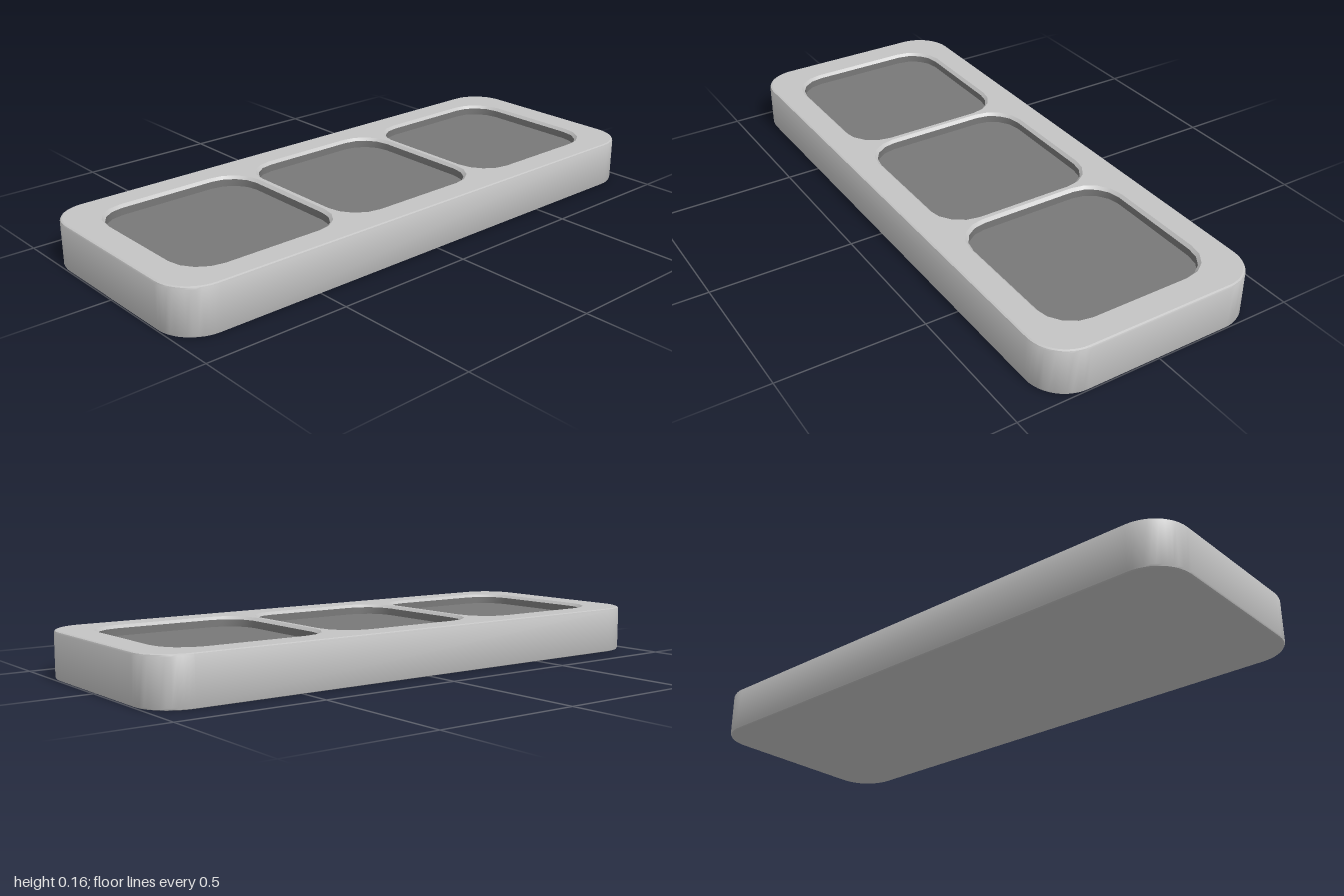
import * as THREE from 'three';
import { toCreasedNormals } from 'three/addons/utils/BufferGeometryUtils.js';

const HEIGHT = 0.16;

// Outline of a rounded rectangle, as [x, z] points
function outline(w, d, r, segs) {
  const pts = [];
  for (let q = 0; q < 4; q++) {
    const sx = q === 0 || q === 3 ? 1 : -1;
    const sz = q < 2 ? 1 : -1;
    for (let i = 0; i <= segs; i++) {
      const a = (q + i / segs) * Math.PI / 2;
      pts.push(new THREE.Vector2(sx * (w / 2 - r) + r * Math.cos(a), sz * (d / 2 - r) + r * Math.sin(a)));
    }
  }
  return pts;
}

// Wall swept around a rounded rectangle; profile rows are [inset, y]
function wall(w, d, r, segs, profile) {
  const pos = [], index = [];
  let n = 0;
  for (const [inset, y] of profile) {
    const ring = outline(w - 2 * inset, d - 2 * inset, r - inset, segs);
    n = ring.length;
    ring.forEach(p => pos.push(p.x, y, p.y));
  }
  for (let i = 0; i < profile.length - 1; i++) {
    for (let j = 0; j < n; j++) {
      const a = i * n + j, b = i * n + (j + 1) % n;
      index.push(a, a + n, b, b, a + n, b + n);
    }
  }
  const g = new THREE.BufferGeometry();
  g.setAttribute('position', new THREE.Float32BufferAttribute(pos, 3));
  g.setIndex(index);
  return toCreasedNormals(g, Math.PI / 5);
}

// Flat horizontal face at height y, facing up or down
function face(pts, y, up = true, holes = []) {
  const shape = new THREE.Shape(pts);
  shape.holes = holes.map(h => new THREE.Path(h));
  return new THREE.ShapeGeometry(shape).rotateX(up ? -Math.PI / 2 : Math.PI / 2).translate(0, y, 0);
}

export function createModel() {
  const group = new THREE.Group();
  const bodyMat = new THREE.MeshStandardMaterial({ color: 0xc4c4c4 });
  bodyMat.name = 'light grey';
  const wellMat = new THREE.MeshStandardMaterial({ color: 0x787878 });
  wellMat.name = 'dark grey';

  const add = (parent, name, geometry, material) => {
    const mesh = new THREE.Mesh(geometry, material);
    mesh.name = name;
    parent.add(mesh);
  };

  // Tray body with softened upper and lower edges
  const W = 2, D = 0.776, R = 0.13, B = 0.008;
  const wellSize = 0.59, wellR = 0.12, wellSegs = 4, wellBevel = 0.01;
  const floorY = 0.125;
  const centres = [-0.605, 0, 0.605];
  const rim = outline(W - 2 * B, D - 2 * B, R - B, 12);
  const openings = centres.map(cx =>
    outline(wellSize, wellSize, wellR, wellSegs).map(p => new THREE.Vector2(p.x + cx, p.y)));

  const body = new THREE.Group();
  body.name = 'trayBody';
  group.add(body);
  add(body, 'outerWall', wall(W, D, R, 12, [
    [B, 0], [B * 0.3, B * 0.3], [0, B], [0, HEIGHT - B], [B * 0.3, HEIGHT - B * 0.3], [B, HEIGHT],
  ]), bodyMat);
  add(body, 'topRim', face(rim, HEIGHT, true, openings), bodyMat);
  add(body, 'underside', face(rim, 0, false), bodyMat);

  // Three square wells: light bevelled lip, dark lining and floor
  const inner = wellSize - 2 * wellBevel;
  centres.forEach((cx, i) => {
    const well = new THREE.Group();
    well.name = 'well' + (i + 1);
    well.position.x = cx;
    group.add(well);
    add(well, 'lip', wall(wellSize, wellSize, wellR, wellSegs,
      [[0, HEIGHT], [wellBevel, HEIGHT - wellBevel]]), bodyMat);
    add(well, 'lining', wall(wellSize, wellSize, wellR, wellSegs,
      [[wellBevel, HEIGHT - wellBevel], [wellBevel, floorY]]), wellMat);
    add(well, 'floor', face(outline(inner, inner, wellR - wellBevel, wellSegs), floorY), wellMat);
  });

  return group;
}
